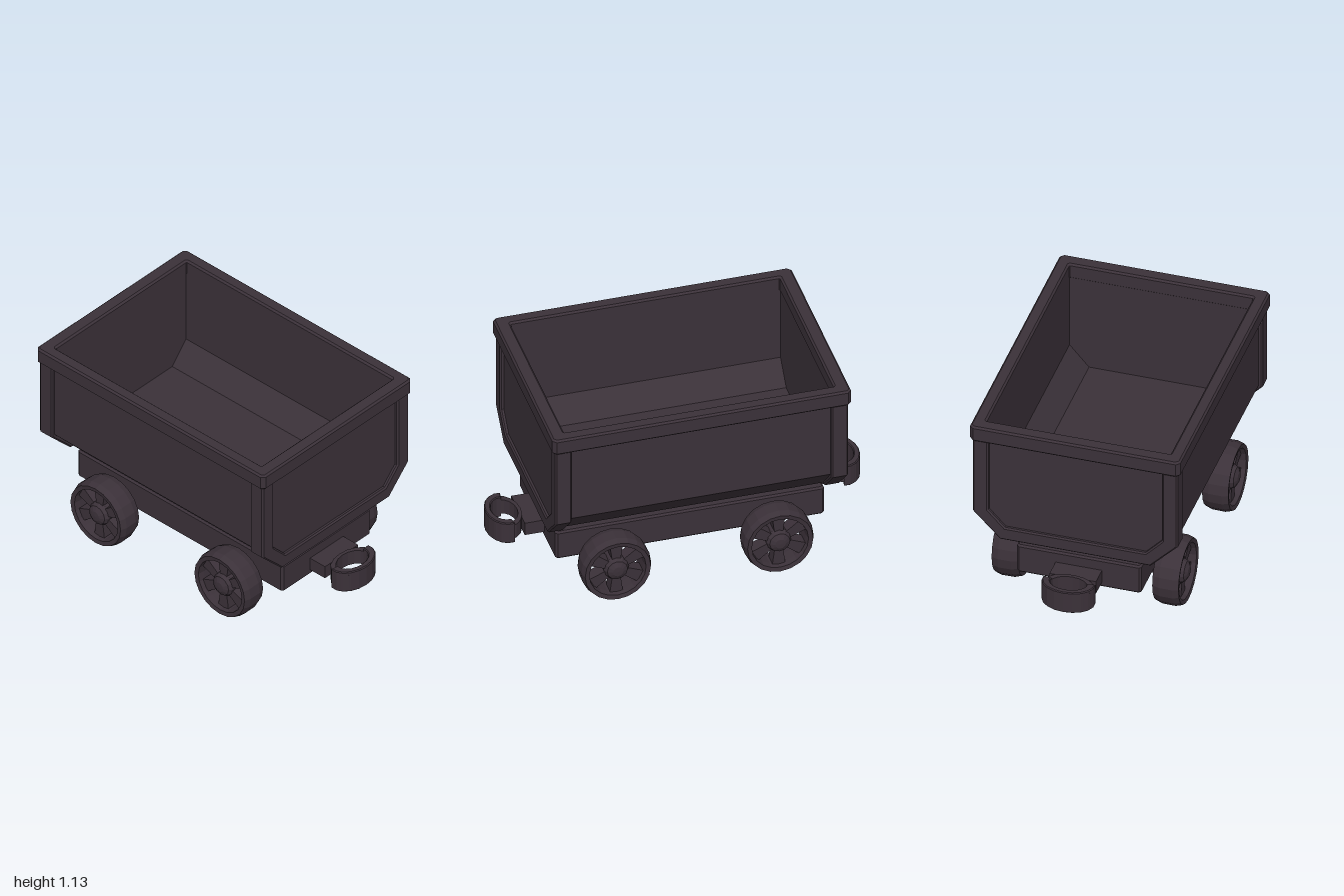
import * as THREE from 'three';

const iron = new THREE.MeshStandardMaterial({ color: 0x3b3139 });
iron.name = 'dark iron';

function add(parent, name, geometry, x = 0, y = 0, z = 0) {
  const mesh = new THREE.Mesh(geometry, iron);
  mesh.name = name;
  mesh.position.set(x, y, z);
  parent.add(mesh);
  return mesh;
}

function flat(geometry) {
  const g = geometry.index ? geometry.toNonIndexed() : geometry;
  g.computeVertexNormals();
  return g;
}

const points = (list) => list.map(([x, y]) => new THREE.Vector2(x, y));

// Half profile of the tub, mirrored: wall, slanted lower corner, floor
function tubOutline(wall, knee, foot, floor, top = 1.08) {
  return [[-wall, top], [-wall, knee], [-foot, floor], [foot, floor], [wall, knee], [wall, top]];
}

// Extrudes a (z, y) shape along x from x0 to x1
function alongX(shape, x0, x1, bevel = 0) {
  const g = new THREE.ExtrudeGeometry(shape, {
    depth: x1 - x0 - 2 * bevel, bevelEnabled: bevel > 0, bevelSize: bevel,
    bevelThickness: bevel, bevelOffset: -bevel, bevelSegments: 1,
  });
  return g.translate(0, 0, x0 + bevel).rotateY(Math.PI / 2);
}

// Extrudes an (x, z) shape upward from y0 to y1
function alongY(shape, y0, y1, bevel = 0) {
  const g = new THREE.ExtrudeGeometry(shape, {
    depth: y1 - y0 - 2 * bevel, bevelEnabled: bevel > 0, bevelSize: bevel,
    bevelThickness: bevel, bevelOffset: -bevel, bevelSegments: 1, curveSegments: 8,
  });
  return g.translate(0, 0, y0 + bevel).rotateX(-Math.PI / 2);
}

// Open U-shaped band between an outer and inner outline
function band(outer, inner) {
  return new THREE.Shape(points([...outer, ...inner.slice().reverse()]));
}

// Rectangle with cut corners
function cutRect(w, d, c) {
  return points([[-w, -d + c], [-w + c, -d], [w - c, -d], [w, -d + c],
    [w, d - c], [w - c, d], [-w + c, d], [-w, d - c]]);
}

function makeTub() {
  const tub = new THREE.Group();
  tub.name = 'tub';
  const inside = tubOutline(0.495, 0.62, 0.39, 0.5);
  const skin = tubOutline(0.532, 0.6, 0.395, 0.452);
  const outside = tubOutline(0.552, 0.59, 0.405, 0.44);
  add(tub, 'sidesAndFloor', alongX(band(skin, inside), -0.74, 0.74));
  for (const s of [-1, 1]) {
    const end = new THREE.Group();
    end.name = s > 0 ? 'leftEnd' : 'rightEnd';
    end.rotation.y = s > 0 ? 0 : Math.PI;
    add(end, 'endPanel', alongX(new THREE.Shape(points(skin)), 0.725, 0.765));
    add(end, 'cornerHoop', alongX(band(outside, tubOutline(0.51, 0.61, 0.39, 0.48)), 0.695, 0.785, 0.008));
    add(end, 'endFrame', alongX(band(outside, tubOutline(0.468, 0.612, 0.378, 0.517)), 0.73, 0.785, 0.008));
    tub.add(end);
  }
  // Heavy rim around the opening
  const rim = new THREE.Shape(cutRect(0.8, 0.566, 0.02));
  rim.holes.push(new THREE.Path(cutRect(0.722, 0.495, 0.004)));
  add(tub, 'topRim', alongY(rim, 1.04, 1.132, 0.01));
  return tub;
}

function makeWheel() {
  const wheel = new THREE.Group();
  wheel.name = 'wheel';
  // Slightly crowned tyre, turned about z
  const profile = points([[0.152, -0.068], [0.174, -0.072], [0.186, -0.035], [0.187, 0.035],
    [0.176, 0.07], [0.152, 0.066], [0.148, 0.03], [0.148, -0.03], [0.152, -0.068]]);
  add(wheel, 'tyre', flat(new THREE.LatheGeometry(profile, 20).rotateX(Math.PI / 2)));
  // Hub with rounded cap
  const hub = points([[0, -0.06], [0.06, -0.06], [0.068, 0.035], [0.055, 0.06], [0.028, 0.074], [0, 0.076]]);
  add(wheel, 'hub', flat(new THREE.LatheGeometry(hub, 12).rotateX(Math.PI / 2)));
  // Flared spokes
  const spoke = new THREE.Shape(points([[0.05, -0.022], [0.155, -0.036], [0.155, 0.036], [0.05, 0.022]]));
  for (let i = 0; i < 6; i++) {
    const g = new THREE.ExtrudeGeometry(spoke, { depth: 0.07, bevelEnabled: false });
    add(wheel, 'spoke', g, 0, 0, -0.03).rotation.z = Math.PI / 6 + i * Math.PI / 3;
  }
  return wheel;
}

function makeCoupler() {
  const coupler = new THREE.Group();
  coupler.name = 'coupler';
  add(coupler, 'drawbar', new THREE.BoxGeometry(0.12, 0.075, 0.25), 0.765, 0.274, 0);
  // Oval eye, thin toward the drawbar
  const eye = new THREE.Shape();
  eye.absellipse(0.905, 0, 0.094, 0.138, 0, Math.PI * 2);
  const hole = new THREE.Path();
  hole.absellipse(0.9, 0, 0.07, 0.1, 0, Math.PI * 2);
  eye.holes.push(hole);
  add(coupler, 'eye', alongY(eye, 0.233, 0.318));
  // Thick outer half of the eye
  const arc = [];
  for (let i = 0; i <= 10; i++) {
    const a = -1.75 + i * 0.35;
    arc.push([0.9 + 0.1 * Math.cos(a), 0.141 * Math.sin(a)]);
  }
  for (let i = 10; i >= 0; i--) {
    const a = -1.75 + i * 0.35;
    arc.push([0.9 + 0.068 * Math.cos(a), 0.098 * Math.sin(a)]);
  }
  add(coupler, 'eyeJaw', alongY(new THREE.Shape(points(arc)), 0.21, 0.337, 0.005));
  return coupler;
}

export function createModel() {
  const cart = new THREE.Group();
  cart.name = 'mineCart';
  cart.add(makeTub());

  // Undercarriage
  const bed = new THREE.Shape(cutRect(0.72, 0.335, 0.012));
  add(cart, 'chassis', alongY(bed, 0.205, 0.376, 0.01));
  add(cart, 'pedestal', new THREE.CylinderGeometry(0.163, 0.163, 0.1, 20), 0, 0.41, 0);

  for (const x of [-0.435, 0.435]) {
    add(cart, 'axle', new THREE.BoxGeometry(0.05, 0.052, 0.78), x, 0.187, 0);
    for (const s of [-1, 1]) {
      const wheel = makeWheel();
      wheel.position.set(x, 0.19, s * 0.433);
      if (s < 0) wheel.rotation.y = Math.PI;
      cart.add(wheel);
    }
  }
  for (const s of [-1, 1]) {
    const coupler = makeCoupler();
    if (s < 0) coupler.rotation.y = Math.PI;
    cart.add(coupler);
  }
  return cart;
}
